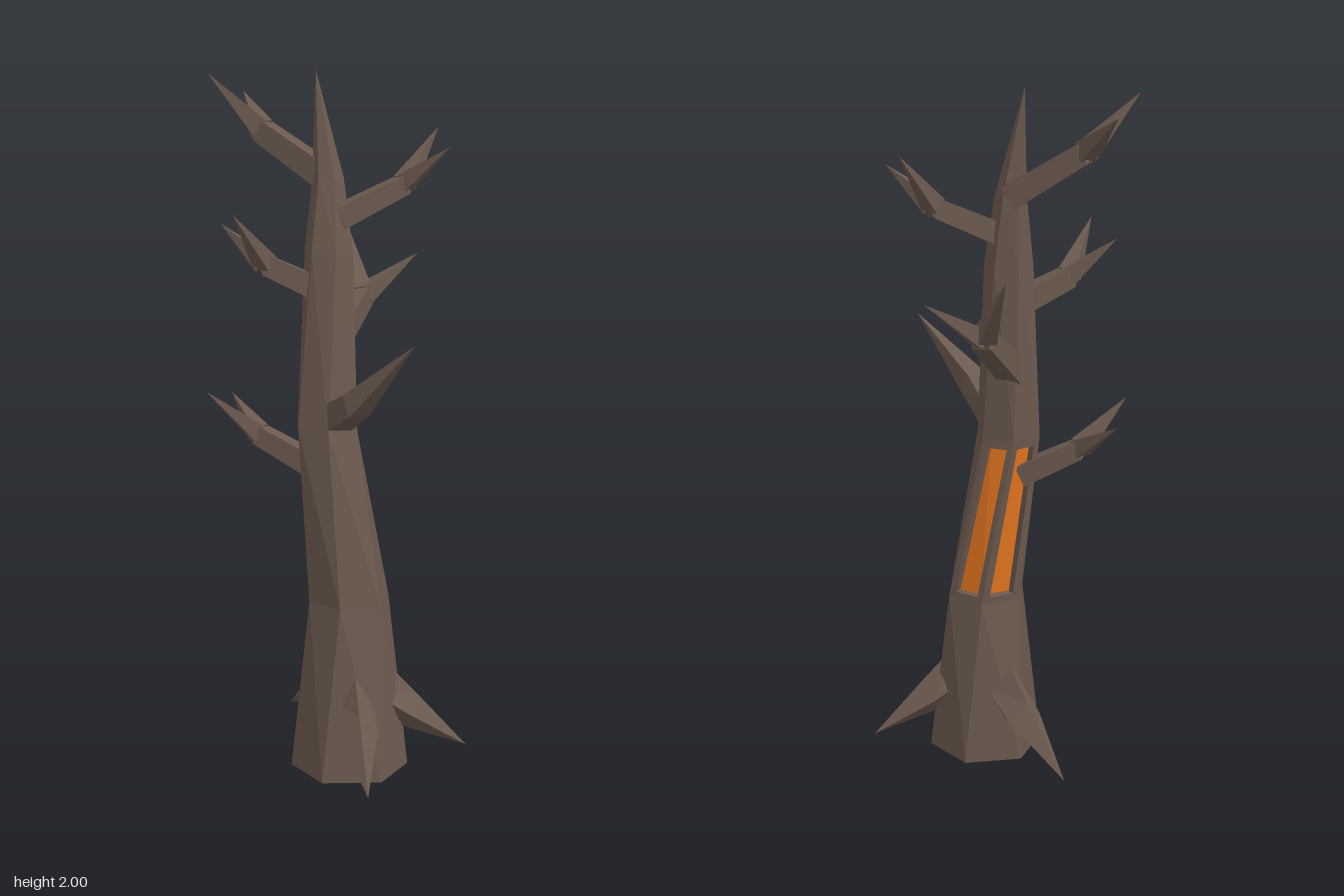
import * as THREE from 'three';

const V = (x, y, z) => new THREE.Vector3(x, y, z);
const UP = V(0, 1, 0);

const bark = new THREE.MeshStandardMaterial({ color: 0x6b594e, flatShading: true });
bark.name = 'bark';
const ember = new THREE.MeshStandardMaterial({ color: 0xe2741f, flatShading: true });
ember.name = 'ember';

// Collects flat quads and triangles into a mesh
class Faces {
  constructor() { this.pos = []; }
  tri(...corners) { corners.forEach(p => this.pos.push(p.x, p.y, p.z)); }
  quad(a, b, c, d) { this.tri(a, b, c); this.tri(a, c, d); }
  mesh(name, material) {
    const g = new THREE.BufferGeometry();
    g.setAttribute('position', new THREE.Float32BufferAttribute(this.pos, 3));
    g.computeVertexNormals();
    const m = new THREE.Mesh(g, material);
    m.name = name;
    return m;
  }
}

// Ring of points around a centre; u x v points against the growing direction
function ring(centre, u, v, ru, rv, sides, turn) {
  return Array.from({ length: sides }, (_, k) => {
    const a = turn + k * Math.PI * 2 / sides;
    return centre.clone().addScaledVector(u, Math.cos(a) * ru).addScaledVector(v, Math.sin(a) * rv);
  });
}

// Joins two rings, leaving out listed sides
function join(faces, a, b, skip = []) {
  a.forEach((p, k) => {
    const n = (k + 1) % a.length;
    if (!skip.includes(k)) faces.quad(p, b[k], b[n], a[n]);
  });
}

function close(faces, r, tip) {
  r.forEach((p, k) => faces.tri(p, tip, r[(k + 1) % r.length]));
}

function cap(faces, r) {
  for (let k = 1; k < r.length - 1; k++) faces.tri(r[0], r[k], r[k + 1]);
}

// Four-sided ring facing along a direction
function limbRing(centre, dir, ru, rv, turn) {
  const t = dir.clone().normalize();
  const u = t.clone().cross(UP).normalize();
  return ring(centre, u, u.clone().cross(t), ru, rv, 4, turn);
}

// Leaning, twisted trunk with two glowing hollows in its back
function makeTrunk() {
  const group = new THREE.Group();
  group.name = 'trunk';
  const shell = new Faces(), glow = new Faces();
  // centre x, y, z, radius, twist in degrees
  const rings = [
    [0.077, 0, 0.06, 0.17, 90],
    [0.07, 0.5, 0.05, 0.12, 75],
    [0, 1.0, 0.053, 0.096, 60],
    [-0.013, 1.5, 0.018, 0.07, 45],
    [-0.025, 1.7, 0, 0.045, 38],
  ].map(([x, y, z, r, a]) => ring(V(x, y, z), V(1, 0, 0), V(0, 0, 1), r, r, 6, a * Math.PI / 180));
  const hollows = [2, 3];
  for (let i = 0; i < rings.length - 1; i++) join(shell, rings[i], rings[i + 1], i === 1 ? hollows : []);
  close(shell, rings[4], V(-0.07, 2, -0.012));
  cap(shell, rings[0]);

  for (const k of hollows) {
    const outer = [rings[1][k], rings[2][k], rings[2][k + 1], rings[1][k + 1]];
    const at = (s, t) => outer[0].clone().lerp(outer[3], s).lerp(outer[1].clone().lerp(outer[2], s), t);
    const inner = [at(0.18, 0.04), at(0.18, 0.95), at(0.82, 0.95), at(0.82, 0.04)];
    const normal = inner[2].clone().sub(inner[0]).cross(inner[3].clone().sub(inner[1])).normalize();
    const middle = inner.reduce((s, p) => s.add(p), V(0, 0, 0)).multiplyScalar(0.25);
    if (normal.dot(middle.sub(V(0.035, 0.75, 0.05))) < 0) normal.negate();
    const deep = inner.map(p => p.clone().addScaledVector(normal, -0.025));
    for (let i = 0; i < 4; i++) {
      const n = (i + 1) % 4;
      shell.quad(outer[i], outer[n], inner[n], inner[i]);
      shell.quad(inner[i], inner[n], deep[n], deep[i]);
    }
    glow.quad(...deep);
  }
  group.add(shell.mesh('trunkBark', bark), glow.mesh('hollowGlow', ember));
  return group;
}

// Branch: a square arm to a joint, then one or two spikes
function makeBranch({ base, joint, tips, r }) {
  const faces = new Faces();
  const b = V(...base), j = V(...joint), turn = Math.PI / 4;
  const dir = j.clone().sub(b);
  const start = limbRing(b, dir, r, r, turn);
  if (tips.length === 1) {
    const tip = V(...tips[0]);
    const bend = dir.clone().normalize().add(tip.clone().sub(j).normalize());
    const end = limbRing(j, bend, r * 0.85, r * 0.85, turn);
    join(faces, start, end);
    close(faces, end, tip);
  } else {
    const end = limbRing(j, dir, r * 0.85, r * 0.85, turn);
    join(faces, start, end);
    close(faces, end, j.clone().addScaledVector(dir.normalize(), 0.03));
    for (const p of tips) {
      const tip = V(...p), d = tip.clone().sub(j);
      const root = limbRing(j.clone().addScaledVector(d, 0.04), d, r * 0.8, r * 0.8, turn);
      cap(faces, root);
      close(faces, root, tip);
    }
  }
  cap(faces, start);
  return faces.mesh('branch', bark);
}

// Root: a tall diamond section that narrows to a point near the ground
function makeRoot(x, z) {
  const faces = new Faces();
  const tip = V(x, 0.05, z), foot = V(0.077, 0.05, 0.06);
  const flat = tip.clone().sub(foot);
  const at = (f, y) => foot.clone().addScaledVector(flat, f).setY(y);
  const start = limbRing(at(0.22, 0.23), flat, 0.06, 0.11, 0);
  const mid = limbRing(at(0.5, 0.165), flat.clone().setY(-0.15), 0.055, 0.055, 0);
  join(faces, start, mid);
  close(faces, mid, tip);
  cap(faces, start);
  return faces.mesh('root', bark);
}

export function createModel() {
  const model = new THREE.Group();
  model.name = 'deadTree';
  model.add(makeTrunk());

  const branches = [
    { base: [-0.03, 1.7, -0.012], joint: [-0.24, 1.83, -0.003], r: 0.05, tips: [[-0.37, 1.99, 0.077], [-0.367, 1.94, -0.115]] },
    { base: [0.01, 1.59, 0.01], joint: [0.145, 1.68, -0.135], r: 0.045, tips: [[0.182, 1.84, -0.29], [0.297, 1.79, -0.123]] },
    { base: [-0.03, 1.39, 0.04], joint: [-0.155, 1.46, 0.125], r: 0.047, tips: [[-0.173, 1.61, 0.275], [-0.29, 1.575, 0.15]] },
    { base: [-0.03, 1.2, 0], joint: [-0.03, 1.345, -0.22], r: 0.049, tips: [[-0.145, 1.535, -0.355], [0.08, 1.465, -0.373]] },
    { base: [0.04, 1.03, 0.075], joint: [0.17, 1.1, 0.205], r: 0.055, tips: [[0.37, 1.285, 0.253]] },
    { base: [-0.04, 0.88, 0.05], joint: [-0.205, 0.965, 0.085], r: 0.045, tips: [[-0.345, 1.065, 0.005], [-0.31, 1.1, 0.205]] },
  ];
  branches.forEach(b => model.add(makeBranch(b)));

  [[0.37, -0.12], [0.295, 0.37], [-0.267, -0.2]].forEach(([x, z]) => model.add(makeRoot(x, z)));
  return model;
}
